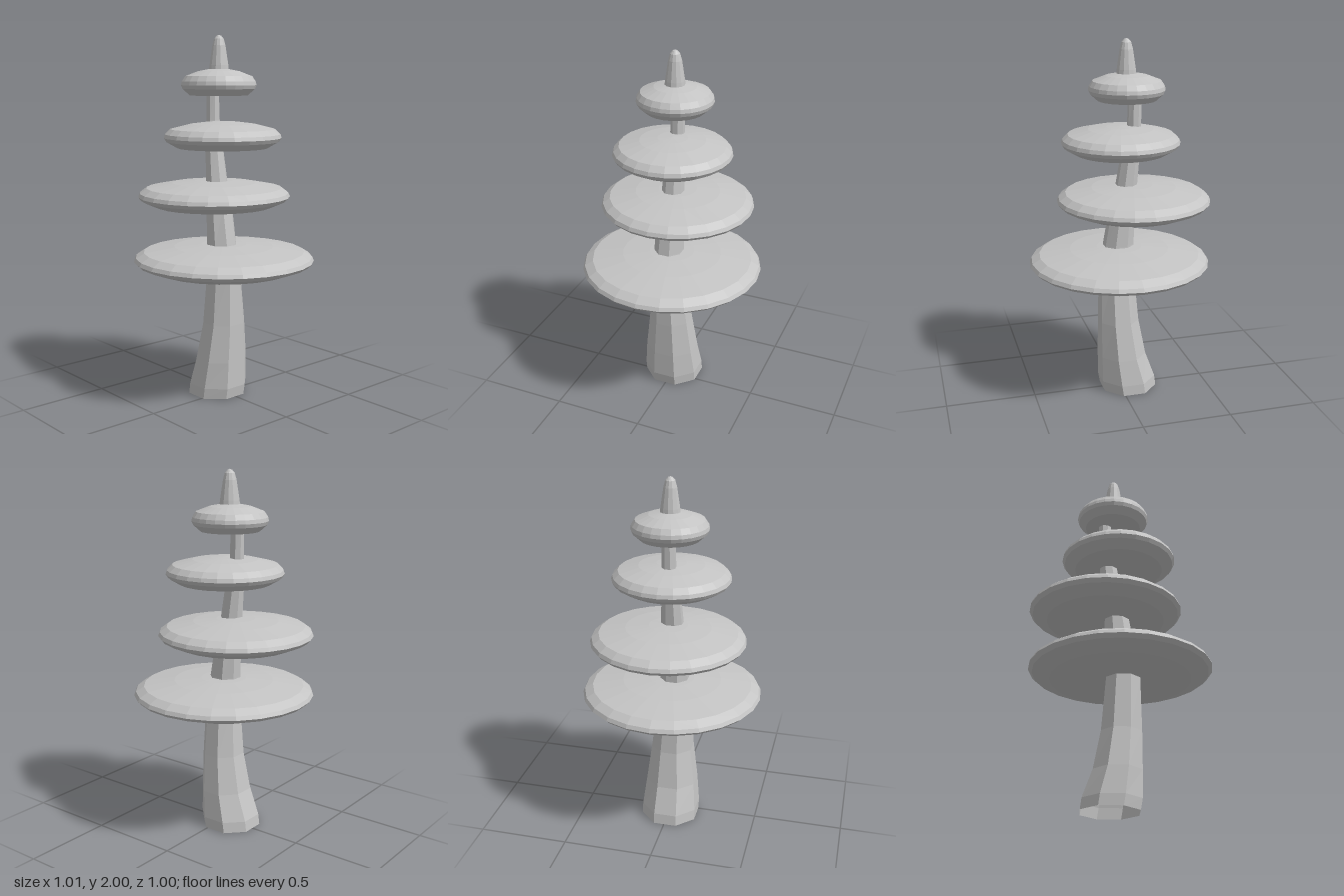
import * as THREE from 'three';

const bark = new THREE.MeshStandardMaterial({ color: 0xc4c4c4 });
bark.name = 'plain grey';
bark.flatShading = true;
bark.side = THREE.DoubleSide;

// Trunk cross-sections: height, left edge, right edge, back edge, front edge
const SECTIONS = [
  [0, -0.205, 0.1, -0.15, 0.16],
  [0.06, -0.197, 0.11, -0.15, 0.16],
  [0.21, -0.143, 0.112, -0.135, 0.145],
  [0.42, -0.103, 0.112, -0.11, 0.118],
  [0.72, -0.078, 0.105, -0.075, 0.1],
  [0.87, -0.08, 0.08, -0.06, 0.093],
  [1.07, -0.087, 0.045, -0.055, 0.085],
  [1.21, -0.1, 0.01, -0.045, 0.07],
  [1.39, -0.115, -0.02, -0.037, 0.058],
  [1.54, -0.12, -0.05, -0.032, 0.04],
  [1.71, -0.125, -0.055, -0.03, 0.035],
];

// Canopy tiers: centre x, base height, radius
const TIERS = [
  [0.0, 0.72, 0.5],
  [-0.083, 1.067, 0.423],
  [-0.01, 1.394, 0.322],
  [-0.043, 1.677, 0.206],
];

// Tier profile: fraction of radius, height
const TIER_PROFILE = [
  [0, 0], [0.77, 0], [0.96, 0.035], [1, 0.055], [0.98, 0.075],
  [0.89, 0.103], [0.55, 0.13], [0.25, 0.142], [0, 0.146],
];

const TIP_PROFILE = [
  [0.055, 1.81], [0.052, 1.84], [0.036, 1.945], [0.026, 1.98], [0.013, 1.995], [0, 2],
];

function lathe(points, sides) {
  return new THREE.LatheGeometry(points.map(([r, y]) => new THREE.Vector2(r, y)), sides);
}

// Open eight-sided tube bent to follow the sections
function trunkGeometry() {
  const rows = SECTIONS.length - 1;
  const geometry = new THREE.CylinderGeometry(1, 1, 1, 8, rows, true, Math.PI / 8);
  const pos = geometry.attributes.position;
  const k = 1 / Math.cos(Math.PI / 8);
  for (let i = 0; i < pos.count; i++) {
    const [y, left, right, back, front] = SECTIONS[Math.round((pos.getY(i) + 0.5) * rows)];
    pos.setXYZ(
      i,
      (left + right) / 2 + (pos.getX(i) * k * (right - left)) / 2,
      y,
      (back + front) / 2 + (pos.getZ(i) * k * (front - back)) / 2
    );
  }
  geometry.computeVertexNormals();
  return geometry;
}

export function createModel() {
  const model = new THREE.Group();
  model.name = 'tieredTree';
  const add = (name, geometry, x = 0, y = 0) => {
    const mesh = new THREE.Mesh(geometry, bark);
    mesh.name = name;
    mesh.position.set(x, y, 0);
    model.add(mesh);
  };

  add('trunk', trunkGeometry());

  // Flat foliage discs
  TIERS.forEach(([x, y, radius], i) => {
    add(`canopyTier${i + 1}`, lathe(TIER_PROFILE.map(([r, h]) => [r * radius, h]), 24), x, y);
  });

  // Rounded tip
  add('treeTip', lathe(TIP_PROFILE, 12), -0.04);

  return model;
}
